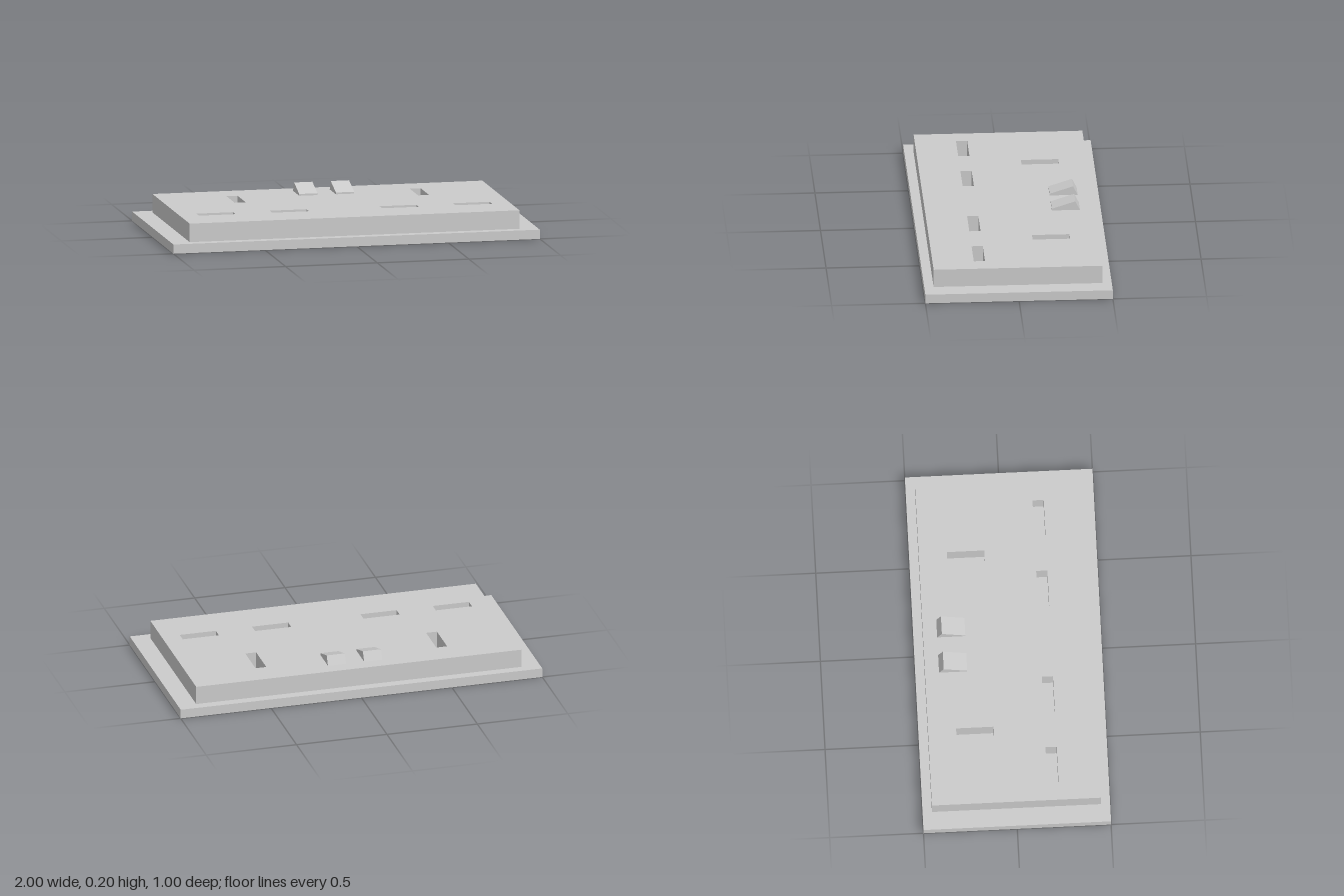
import * as THREE from 'three';

const material = new THREE.MeshStandardMaterial({ color: 0xcccccc, flatShading: true });

// Adds a named mesh to the group
function addPart(group, name, geometry) {
  const mesh = new THREE.Mesh(geometry, material);
  mesh.name = name;
  group.add(mesh);
  return mesh;
}

// Traces a rectangle given its centre and size
function traceRect(path, cx, cy, w, h) {
  path.moveTo(cx - w / 2, cy - h / 2);
  path.lineTo(cx + w / 2, cy - h / 2);
  path.lineTo(cx + w / 2, cy + h / 2);
  path.lineTo(cx - w / 2, cy + h / 2);
  path.closePath();
  return path;
}

export function createModel() {
  const group = new THREE.Group();
  group.name = 'doubleSocket';

  // Back plate
  addPart(group, 'basePlate', new THREE.BoxGeometry(2, 0.05, 1)).position.y = 0.025;

  // Raised face with the pin slots cut down to the base plate
  const face = traceRect(new THREE.Shape(), 0, 0, 1.8, 0.9);
  for (const side of [-1, 1]) {
    const x = side * 0.5;
    face.holes.push(traceRect(new THREE.Path(), x, 0.2, 0.06, 0.2)); // earth slot
    for (const dx of [-0.2, 0.2]) {
      face.holes.push(traceRect(new THREE.Path(), x + dx, -0.2, 0.2, 0.06)); // lower slots
    }
  }
  const faceGeometry = new THREE.ExtrudeGeometry(face, { depth: 0.1, bevelEnabled: false });
  faceGeometry.rotateX(-Math.PI / 2);
  addPart(group, 'socketFace', faceGeometry).position.y = 0.05;

  // Two rocker switches, extruded across x from their side profile
  const rocker = new THREE.Shape([
    new THREE.Vector2(0.225, 0.15),
    new THREE.Vector2(0.375, 0.15),
    new THREE.Vector2(0.35, 0.2),
    new THREE.Vector2(0.225, 0.16),
  ]);
  const rockerGeometry = new THREE.ExtrudeGeometry(rocker, { depth: 0.1, bevelEnabled: false });
  rockerGeometry.translate(0, 0, -0.05).rotateY(Math.PI / 2);
  addPart(group, 'leftSwitch', rockerGeometry).position.x = 0.1;
  addPart(group, 'rightSwitch', rockerGeometry).position.x = -0.1;

  return group;
}
